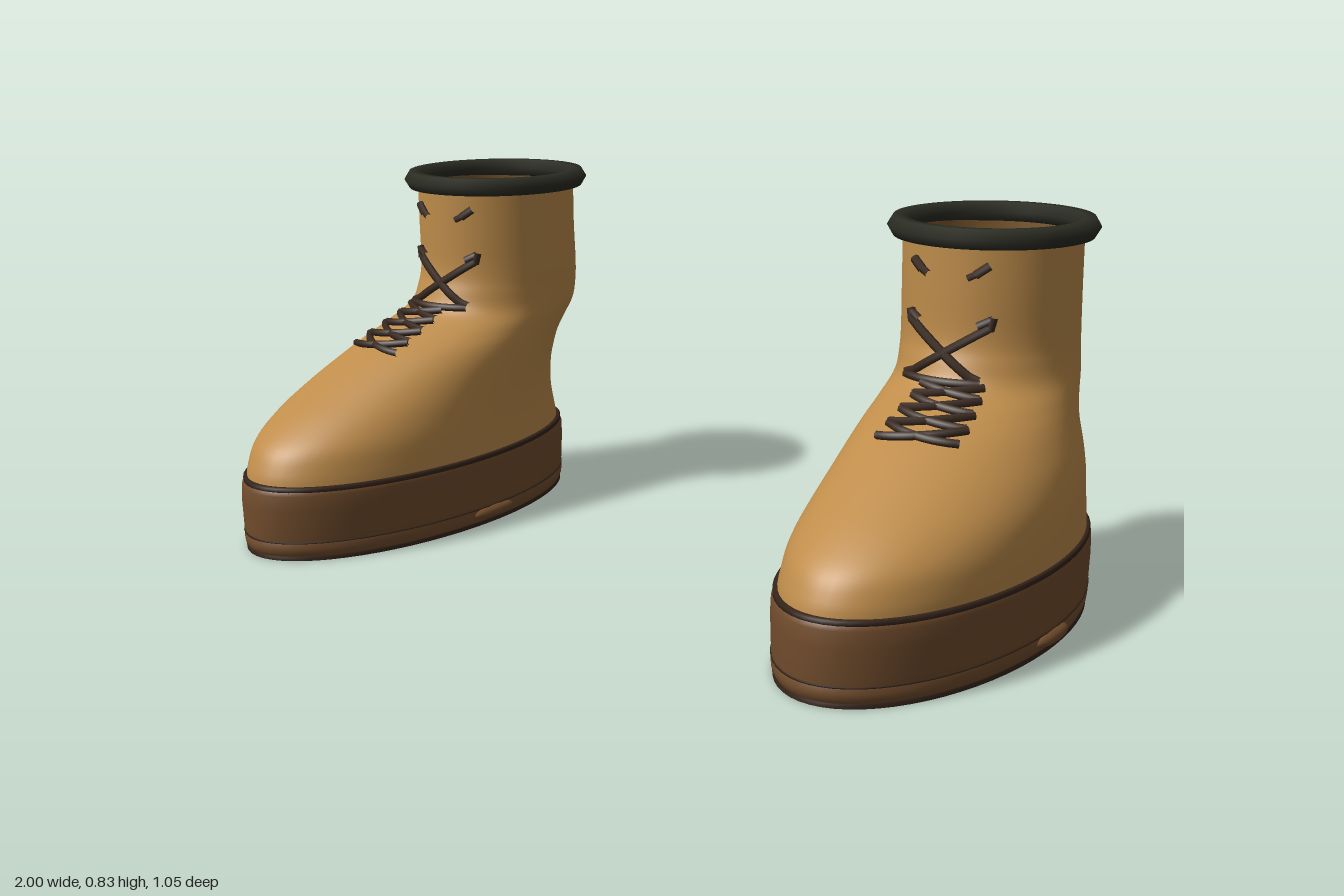
import * as THREE from 'three';

const mat = (name, color) => Object.assign(new THREE.MeshStandardMaterial({ color }), { name });

// Skin a stack of elliptical rings [y, cx, cz, rx, rz]; a repeated ring makes a sharp edge
function loft(rings, seg = 64) {
  const pos = [], idx = [];
  rings.forEach(([y, cx, cz, rx, rz], i) => {
    for (let j = 0; j < seg; j++) {
      const a = (j / seg) * Math.PI * 2;
      pos.push(cx + rx * Math.cos(a), y, cz + rz * Math.sin(a));
      if (i === rings.length - 1) continue;
      const p = i * seg + j, q = i * seg + (j + 1) % seg;
      idx.push(p, p + seg, q, q, p + seg, q + seg);
    }
  });
  const g = new THREE.BufferGeometry();
  g.setAttribute('position', new THREE.Float32BufferAttribute(pos, 3));
  g.setIndex(idx);
  g.computeVertexNormals();
  return g;
}

// Boot profile: height, front z, back z, inner x, outer x
const profile = [
  [0.16, 0.512, -0.494, -0.24, 0.24], [0.2, 0.502, -0.487, -0.236, 0.24],
  [0.25, 0.472, -0.475, -0.231, 0.237], [0.3, 0.4, -0.467, -0.227, 0.23],
  [0.35, 0.303, -0.463, -0.225, 0.214], [0.4, 0.198, -0.465, -0.225, 0.19],
  [0.43, 0.13, -0.473, -0.225, 0.175], [0.46, 0.053, -0.487, -0.226, 0.161],
  [0.5, -0.035, -0.501, -0.229, 0.147], [0.55, -0.064, -0.504, -0.231, 0.14],
  [0.6, -0.077, -0.498, -0.234, 0.139], [0.7, -0.076, -0.491, -0.234, 0.14],
  [0.81, -0.074, -0.49, -0.234, 0.14],
];
const spline = (f) => new THREE.CatmullRomCurve3(profile.map(f), false, 'catmullrom');
const lengthwise = spline((p) => new THREE.Vector3(p[1], p[0], p[2]));
const crosswise = spline((p) => new THREE.Vector3(p[3], p[0], p[4]));

function ringAt(t, s) {
  const l = lengthwise.getPoint(t), c = crosswise.getPoint(t);
  return [l.y, s * (c.x + c.z) / 2, (l.x + l.z) / 2, (c.z - c.x) / 2, (l.x - l.z) / 2];
}

// Point just above the front of the upper at a given x and height
function onFront(x, y, s, lift = 0.006) {
  let lo = 0, hi = 1;
  for (let i = 0; i < 30; i++) {
    const m = (lo + hi) / 2;
    if (lengthwise.getPoint(m).y < y) lo = m; else hi = m;
  }
  const [, cx, cz, rx, rz] = ringAt(lo, s);
  const u = Math.min(1, Math.abs(s * x - cx) / rx);
  return new THREE.Vector3(s * x, y + (y < 0.52 ? lift : 0), cz + rz * Math.sqrt(1 - u * u) + lift);
}

function createBoot(s, m) {
  const boot = new THREE.Group();
  const add = (name, geo, material) => {
    const mesh = new THREE.Mesh(geo, material);
    mesh.name = name;
    boot.add(mesh);
  };
  const cx = -0.047 * s, cz = -0.282;

  // Leather upper
  const rings = [];
  for (let i = 0; i <= 60; i++) rings.push(ringAt(i / 60, s));
  add('upper', loft(rings), m.leather);

  // Inner wall and the gently domed insert that closes the shaft
  add('innerWall', loft([[0.815, cx, cz, 0.182, 0.203], [0.72, cx, cz, 0.182, 0.203]]), m.lining);
  const dome = [];
  for (let i = 0; i <= 10; i++) {
    const a = (i / 10) * Math.PI / 2, k = Math.cos(a);
    dome.push([0.72 + 0.035 * Math.sin(a), cx, cz, 0.182 * k, 0.203 * k]);
  }
  add('shaftInsert', loft(dome), m.leather);

  // Padded collar
  const collar = new THREE.TorusGeometry(0.197, 0.024, 6, 64);
  collar.rotateX(Math.PI / 2);
  collar.scale(1, 1, 1.09);
  collar.translate(cx, 0.81, cz);
  add('collar', collar, m.collar);

  // Midsole, trim, groove and rounded welt
  const r = (y, rx, rz, z = 0.008) => [y, 0, z, rx, rz];
  const band = (name, list, material) => add(name, loft(list), material);
  band('midsole', [r(0.042, 0.247, 0.513), r(0.06, 0.248, 0.515), r(0.12, 0.25, 0.518),
    r(0.155, 0.249, 0.516), r(0.164, 0.246, 0.51), r(0.164, 0.246, 0.51), r(0.164, 0.236, 0.498)], m.sole);
  band('trim', [r(0.162, 0.244, 0.506), r(0.164, 0.248, 0.511), r(0.172, 0.248, 0.511),
    r(0.175, 0.244, 0.506), r(0.175, 0.236, 0.498)], m.dark);
  band('groove', [r(0.041, 0.244, 0.508), r(0.042, 0.249, 0.516), r(0.045, 0.249, 0.516),
    r(0.046, 0.244, 0.508)], m.dark);
  band('welt', [r(0.01, 0.243, 0.508), r(0.018, 0.247, 0.513), r(0.03, 0.248, 0.515),
    r(0.042, 0.245, 0.511)], m.sole);
  band('soleEdge', [r(0, 0.24, 0.504), r(0, 0.245, 0.51), r(0, 0.245, 0.51), r(0.009, 0.245, 0.51),
    r(0.01, 0.242, 0.507)], m.dark);

  // Flat underside
  band('underside', [r(0, 0, 0), r(0, 0.24, 0.504)], m.sole);

  // Overlapping end of the welt
  const joint = new THREE.SphereGeometry(1, 20, 12);
  joint.scale(0.02, 0.016, 0.075);
  joint.translate(0.242, 0.028, -0.02);
  add('weltJoint', joint, m.sole);

  // Laces follow the front of the upper
  const lace = (name, x0, y0, x1, y1, radius = 0.009) => {
    const pts = [];
    for (let i = 0; i <= 8; i++) {
      const t = i / 8;
      pts.push(onFront(x0 + (x1 - x0) * t, y0 + (y1 - y0) * t, s));
    }
    add(name, new THREE.TubeGeometry(new THREE.CatmullRomCurve3(pts), 24, radius, 6), m.lace);
  };
  for (let i = 0; i < 4; i++) {
    const y = 0.424 + i * 0.02, w = 0.084 - i * 0.005, c = -0.004 * i;
    lace('lowerLace', c - w, y, c + w - 0.004, y + 0.018);
    lace('lowerLace', c + w, y, c - w + 0.004, y + 0.018);
  }
  lace('crossBar', -0.13, 0.508, 0.042, 0.508);
  for (const k of [-1, 1]) {
    const mid = -0.046;
    lace('crossLace', mid - k * 0.085, 0.512, mid + k * 0.088, 0.625, 0.01);
    lace('laceHook', mid + k * 0.088, 0.62, mid + k * 0.094, 0.648, 0.01);
    lace('laceHook', mid + k * 0.094, 0.643, mid + k * 0.066, 0.628);
    lace('topLace', mid + k * 0.045, 0.728, mid + k * 0.072, 0.742, 0.008);
    lace('topLace', mid + k * 0.06, 0.735, mid + k * 0.086, 0.755, 0.01);
  }
  return boot;
}

export function createModel() {
  const m = {
    leather: mat('tan leather', 0xbf8d4b),
    lining: mat('brown lining', 0x7d5a30),
    sole: mat('brown rubber', 0x724d2d),
    dark: mat('dark trim', 0x35241a),
    lace: mat('dark brown lace', 0x39291f),
    collar: mat('dark olive collar', 0x2b2d23),
  };
  const model = new THREE.Group();
  for (const [name, s, x] of [['leftBoot', 1, 0.733], ['rightBoot', -1, -0.75]]) {
    const boot = createBoot(s, m);
    boot.name = name;
    boot.position.x = x;
    model.add(boot);
  }
  return model;
}
